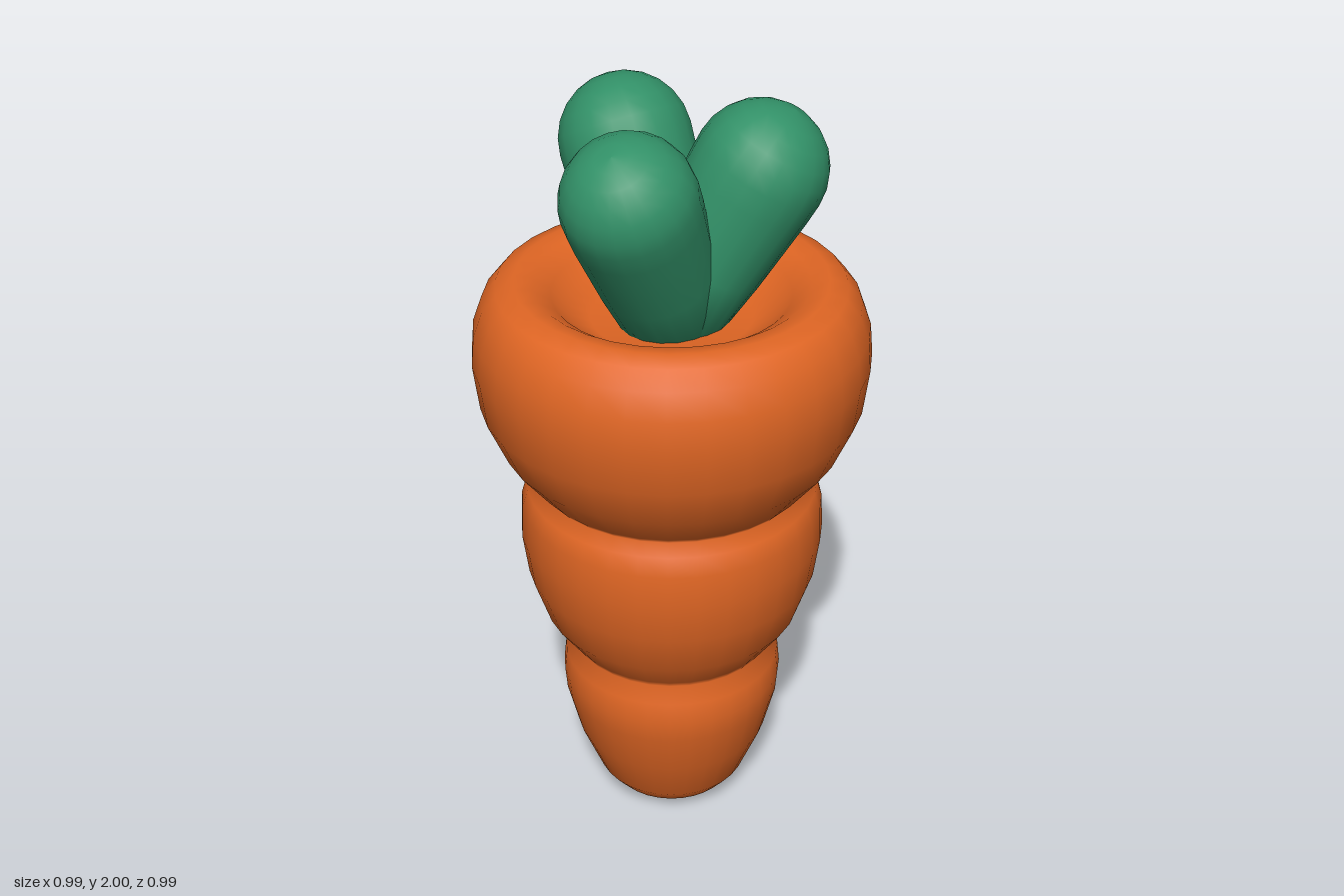
import * as THREE from 'three';

const orange = new THREE.MeshStandardMaterial({ color: 0xe06624 });
orange.name = 'carrotOrange';
const green = new THREE.MeshStandardMaterial({ color: 0x329168 });
green.name = 'leafGreen';

// Turns a bottom-to-top list of [radius, height] into a smooth solid
function turned(name, profile, sides, material) {
  const points = profile.map(([r, y]) => new THREE.Vector2(r, y));
  const mesh = new THREE.Mesh(new THREE.LatheGeometry(points, sides), material);
  mesh.name = name;
  return mesh;
}

export function createModel() {
  const model = new THREE.Group();
  model.name = 'carrot';

  // Root: three stacked bulges, with a hollow in the crown
  model.add(turned('root', [
    [0, 0], [0.07, 0.006], [0.13, 0.022], [0.165, 0.042], [0.2, 0.085],
    [0.255, 0.22], [0.285, 0.34], [0.29, 0.4], [0.284, 0.46], [0.262, 0.505],
    [0.275, 0.525], [0.335, 0.61], [0.375, 0.73], [0.39, 0.84], [0.386, 0.93],
    [0.372, 0.98], [0.345, 1.008],
    [0.36, 1.025], [0.43, 1.115], [0.48, 1.23], [0.495, 1.35], [0.488, 1.43],
    [0.465, 1.495], [0.43, 1.538], [0.385, 1.553], [0.34, 1.545], [0.295, 1.515],
    [0.255, 1.475], [0.2, 1.45], [0, 1.44],
  ], 32, orange));

  // Leaf: slightly tapered stalk with a domed end
  const leafProfile = [[0, 0], [0.125, 0], [0.148, 0.2], [0.163, 0.4]];
  for (let i = 0; i <= 6; i++) {
    const a = (i / 6) * Math.PI / 2;
    leafProfile.push([0.165 * Math.cos(a), 0.46 + 0.165 * Math.sin(a)]);
  }

  // Three leaves leaning outwards, the first to the back
  for (let i = 0; i < 3; i++) {
    const pivot = new THREE.Group();
    pivot.name = 'leafPivot' + (i + 1);
    const leaf = turned('leaf' + (i + 1), leafProfile, 20, green);
    leaf.position.set(0, 1.435, 0.015);
    leaf.rotation.x = -0.51;
    pivot.add(leaf);
    pivot.rotation.y = (i * Math.PI * 2) / 3;
    model.add(pivot);
  }
  return model;
}
